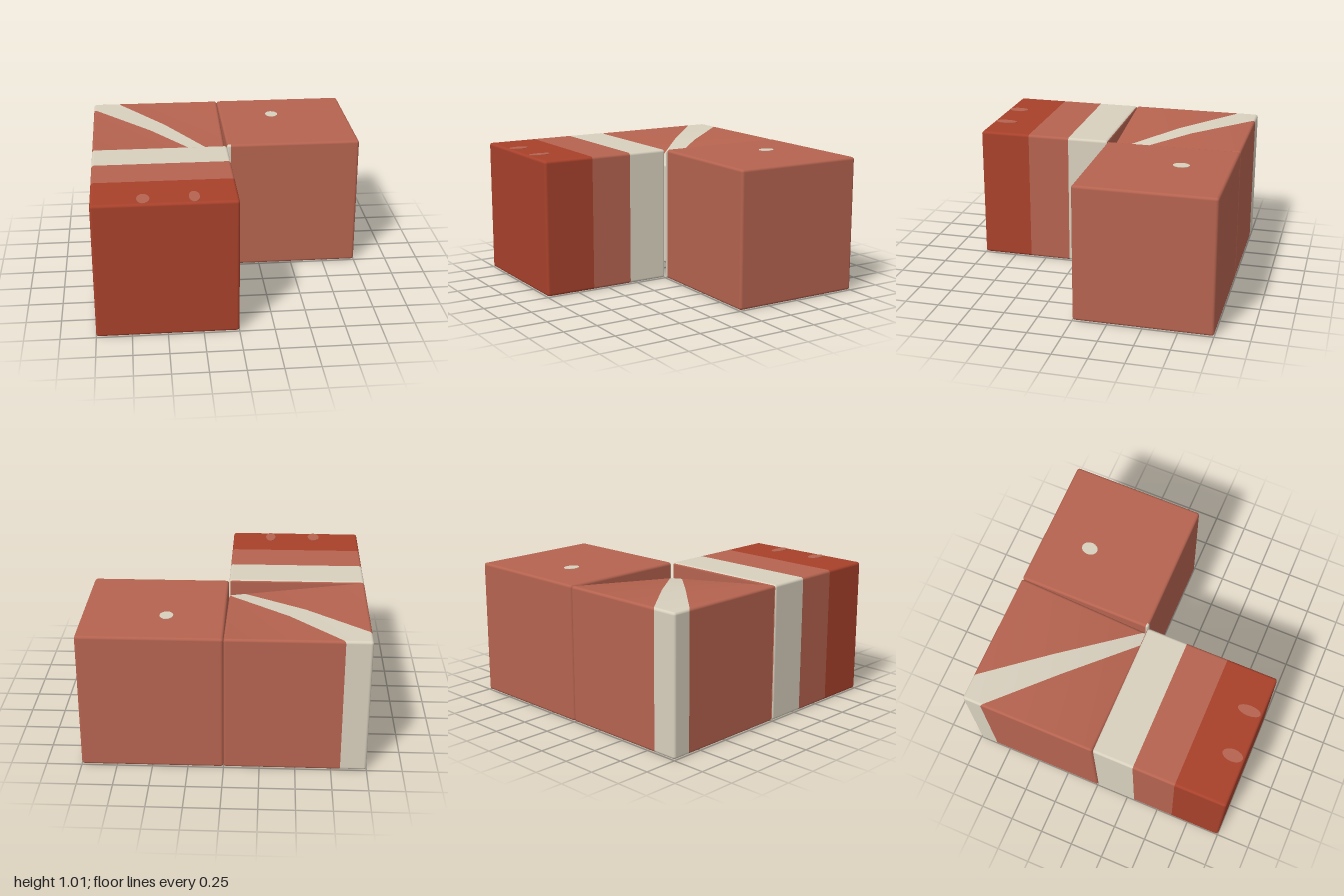
import * as THREE from 'three';
import { RoundedBoxGeometry } from 'three/addons/geometries/RoundedBoxGeometry.js';

const material = (name, color) => {
  const m = new THREE.MeshStandardMaterial({ color });
  m.name = name;
  return m;
};

// Triangles of a softly bevelled unit cube, as lists of position/normal pairs
function cubeTriangles(cx, cz) {
  const g = new RoundedBoxGeometry(1, 1, 1, 2, 0.02).toNonIndexed();
  g.translate(cx, 0.5, cz);
  const { position, normal } = g.attributes;
  const tris = [];
  for (let i = 0; i < position.count; i += 3) {
    tris.push([0, 1, 2].map((k) => ({
      p: new THREE.Vector3().fromBufferAttribute(position, i + k),
      n: new THREE.Vector3().fromBufferAttribute(normal, i + k),
    })));
  }
  return tris;
}

// Cut a surface by an upright plane: returns [side where dist > 0, other side]
function split(tris, dist) {
  const keep = (sign) => tris.flatMap((tri) => {
    const poly = [];
    tri.forEach((a, i) => {
      const b = tri[(i + 1) % 3];
      const da = sign * dist(a.p.x, a.p.z);
      const db = sign * dist(b.p.x, b.p.z);
      if (da >= 0) poly.push(a);
      if (da * db < 0) {
        const t = da / (da - db);
        poly.push({ p: a.p.clone().lerp(b.p, t), n: a.n.clone().lerp(b.n, t).normalize() });
      }
    });
    const fan = [];
    for (let i = 1; i + 1 < poly.length; i++) fan.push([poly[0], poly[i], poly[i + 1]]);
    return fan;
  });
  return [keep(1), keep(-1)];
}

// The corner block sinks gently towards the inner corner, above and below
const DIP = 0.12;
function sink({ p, n }) {
  const u = 1 + p.x, v = 1 + p.z;
  const q = p.clone();
  q.y -= DIP * u * v * (p.y - 0.5) * 2;
  const m = n.clone();
  m.x += Math.abs(n.y) * DIP * v;
  m.z += Math.abs(n.y) * DIP * u;
  return { p: q, n: m.normalize() };
}

function surface(name, tris, mat, rule = (v) => v) {
  const verts = tris.flat().map(rule);
  const g = new THREE.BufferGeometry();
  g.setAttribute('position', new THREE.Float32BufferAttribute(verts.flatMap((v) => v.p.toArray()), 3));
  g.setAttribute('normal', new THREE.Float32BufferAttribute(verts.flatMap((v) => v.n.toArray()), 3));
  const mesh = new THREE.Mesh(g, mat);
  mesh.name = name;
  return mesh;
}

// Thin oval spot on the top or underside
function spot(name, x, z, rx, rz, top, mat) {
  const mesh = new THREE.Mesh(new THREE.CylinderGeometry(1, 1, 0.004, 16), mat);
  mesh.scale.set(rx, 1, rz);
  mesh.position.set(x, top ? 1.001 : -0.001, z);
  mesh.name = name;
  return mesh;
}

export function createModel() {
  const red = material('deep red', 0xa8412b);
  const clay = material('clay red', 0xb5634f);
  const cream = material('cream', 0xd8d0be);
  const model = new THREE.Group();
  model.name = 'threeBlocks';

  // Front block: red nose, clay middle, cream band, clay back
  const front = new THREE.Group();
  front.name = 'frontBlock';
  const [nose, behindNose] = split(cubeTriangles(-0.5, 0.5), (x, z) => z - 0.62);
  const [middle, behindMiddle] = split(behindNose, (x, z) => z - 0.307);
  const [band, back] = split(behindMiddle, (x, z) => z - 0.005);
  front.add(
    surface('nose', nose, red),
    surface('middleBand', middle, clay),
    surface('creamBand', band, cream),
    surface('backFace', back, clay),
    spot('topSpot', -0.645, 0.91, 0.045, 0.075, true, clay),
    spot('topSpot', -0.3, 0.9, 0.038, 0.085, true, clay),
    spot('bottomSpot', -0.71, 0.93, 0.04, 0.05, false, clay),
    spot('bottomSpot', -0.39, 0.93, 0.04, 0.05, false, clay),
  );

  // Corner block with a diagonal cream stripe
  const corner = new THREE.Group();
  corner.name = 'cornerBlock';
  const [right, rest] = split(cubeTriangles(-0.5, -0.5), (x, z) => x - (z + 0.02) * 0.832);
  const [left, stripe] = split(rest, (x, z) => z - (x + 0.1) * 0.956);
  corner.add(
    surface('rightPart', right, clay, sink),
    surface('leftPart', left, clay, sink),
    surface('diagonalStripe', stripe, cream, sink),
  );

  // Side block with a narrow cream edge at the inner corner
  const side = new THREE.Group();
  side.name = 'sideBlock';
  const [body, strip] = split(cubeTriangles(0.5, -0.5), (x) => x - 0.03);
  const [edge, inner] = split(strip, (x, z) => z + 0.019);
  side.add(
    surface('body', [...body, ...inner], clay),
    surface('creamEdge', edge, cream),
    spot('topSpot', 0.41, -0.64, 0.048, 0.06, true, cream),
    spot('bottomSpot', 0.51, -0.51, 0.045, 0.045, false, cream),
  );

  model.add(front, corner, side);
  return model;
}
